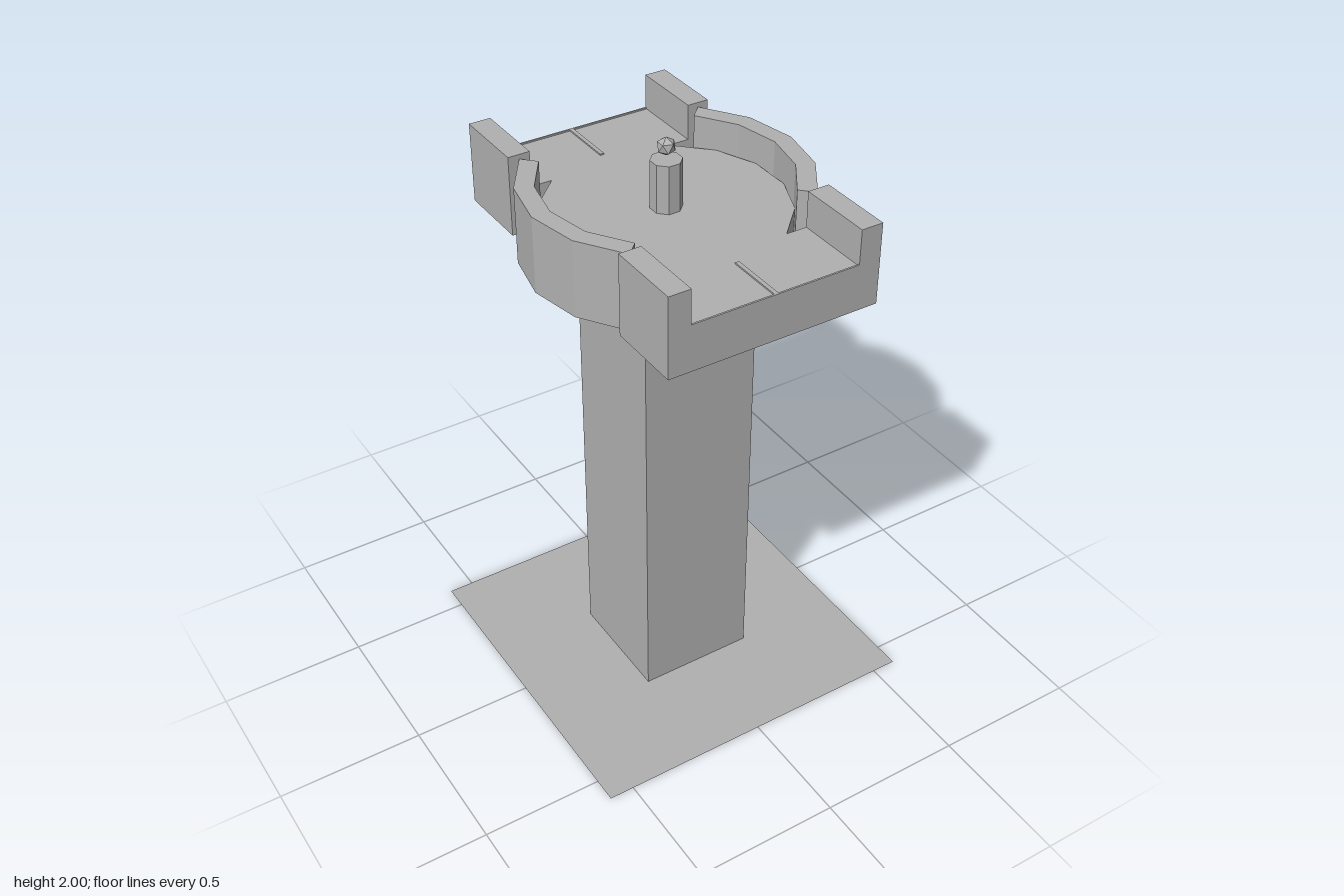
import * as THREE from 'three';

export function createModel() {
  const model = new THREE.Group();
  model.name = 'towerPlatform';
  const grey = new THREE.MeshStandardMaterial({ color: 0xb0b0b0, flatShading: true, side: THREE.DoubleSide });
  grey.name = 'stoneGrey';

  const add = (name, geometry, x = 0, y = 0, z = 0) => {
    const mesh = new THREE.Mesh(geometry, grey);
    mesh.name = name;
    mesh.position.set(x, y, z);
    model.add(mesh);
    return mesh;
  };
  // Box given by its lower and upper corners
  const block = (name, [x0, y0, z0], [x1, y1, z1]) =>
    add(name, new THREE.BoxGeometry(x1 - x0, y1 - y0, z1 - z0),
      (x0 + x1) / 2, (y0 + y1) / 2, (z0 + z1) / 2);

  const BASE = 1.61, FLOOR = 1.763, WALL = 1.885, RING = 1.87, CX = -0.002;

  // Ground sheet and square shaft
  add('groundSheet', new THREE.PlaneGeometry(1.172, 1.172).rotateX(-Math.PI / 2));
  block('shaft', [CX - 0.203, 0, -0.203], [CX + 0.203, BASE, 0.203]);

  // Sixteen-sided central floor, flats facing the axes
  const floor = new THREE.CylinderGeometry(0.391, 0.391, FLOOR - BASE, 16).rotateY(Math.PI / 16);
  add('roundFloor', floor, CX, (BASE + FLOOR) / 2, 0);

  // Front and back decks with side walls, low lip and centre strip
  for (const s of [1, -1]) {
    const span = (name, x0, x1, y0, y1, zIn, zOut) =>
      block(name, [CX + x0, y0, Math.min(s * zIn, s * zOut)], [CX + x1, y1, Math.max(s * zIn, s * zOut)]);
    span('deck', -0.363, 0.363, BASE, FLOOR, 0.326, 0.586);
    span('centreStrip', -0.007, 0.007, FLOOR - 0.01, FLOOR + 0.005, 0.384, 0.586);
    for (const m of [1, -1]) {
      const [x0, x1] = m > 0 ? [0.288, 0.363] : [-0.363, -0.288];
      span('sideWall', x0, x1, FLOOR, WALL, 0.326, 0.586);
      const [l0, l1] = m > 0 ? [0.007, 0.288] : [-0.288, -0.007];
      span('deckLip', l0, l1, FLOOR - 0.01, FLOOR + 0.005, 0.58, 0.586);
    }
  }

  // Curved parapets: four straight segments over a quarter turn
  for (const m of [1, -1]) {
    const points = [];
    const arc = (radius, i) => {
      const a = (i * Math.PI) / 8;
      points.push(new THREE.Vector2(m * radius * Math.cos(a), radius * Math.sin(a)));
    };
    for (let i = -2; i <= 2; i++) arc(0.46, i);
    for (let i = 2; i >= -2; i--) arc(0.398, i);
    const geometry = new THREE.ExtrudeGeometry(new THREE.Shape(points), { depth: RING - BASE, bevelEnabled: false });
    add('curvedParapet', geometry.rotateX(-Math.PI / 2), CX, BASE, 0);
  }

  // Octagonal post with a small faceted ball above it
  const post = new THREE.CylinderGeometry(0.051, 0.051, 1.926 - FLOOR, 8).rotateY(Math.PI / 8);
  add('post', post, CX, (FLOOR + 1.926) / 2, 0);
  const ball = new THREE.IcosahedronGeometry(0.031, 0);
  ball.rotateZ(-Math.atan(2 / (1 + Math.sqrt(5))));
  add('ball', ball, CX, 1.969, 0);

  return model;
}
